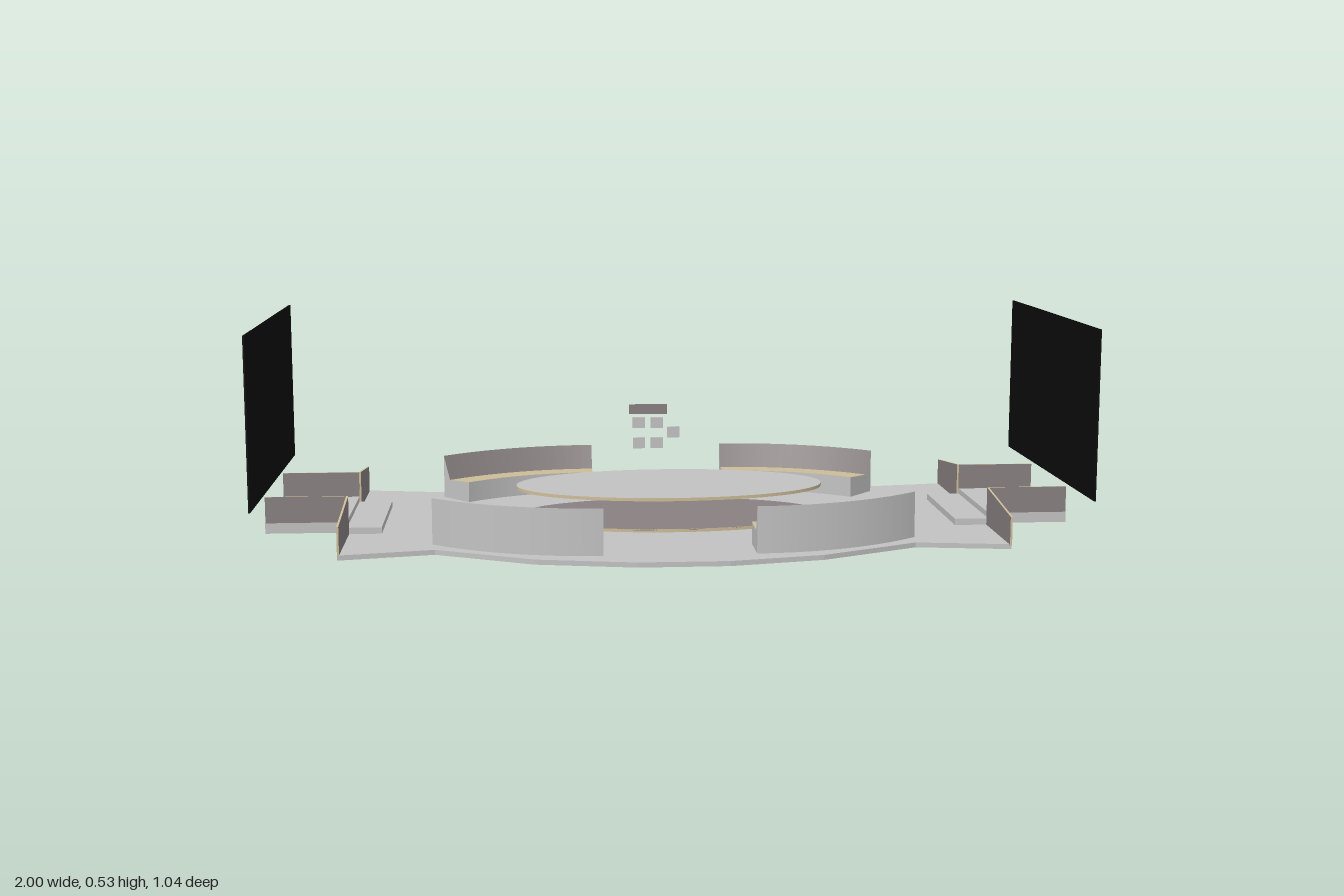
import * as THREE from 'three';

const mat = (name, color, side = THREE.FrontSide) => {
  const m = new THREE.MeshStandardMaterial({ color, side });
  m.name = name;
  return m;
};

export function createModel() {
  const root = new THREE.Group();
  root.name = 'stageSet';
  const lightGrey = mat('lightGrey', 0xc2c2c2);
  const warmGrey = mat('warmGrey', 0x888081, THREE.DoubleSide);
  const tan = mat('tan', 0xcdbd98, THREE.DoubleSide);
  const black = mat('black', 0x0c0c0c);

  const add = (name, geo, material, parent = root) => {
    const m = new THREE.Mesh(geo, material);
    m.name = name;
    parent.add(m);
    return m;
  };
  // Box given by its min and max corners
  const box = (name, x0, x1, y0, y1, z0, z1, material) => {
    const m = add(name, new THREE.BoxGeometry(x1 - x0, y1 - y0, z1 - z0), material);
    m.position.set((x0 + x1) / 2, (y0 + y1) / 2, (z0 + z1) / 2);
    return m;
  };
  const shapeOf = pts => new THREE.Shape(pts.map(p => new THREE.Vector2(p[0], p[1])));

  // Floor slab with an oval opening under the table
  const RX = 0.392, RZ = 0.2, CX = 0.006;
  const floorShape = shapeOf([
    [-0.8, -0.4], [-0.575, -0.355], [-0.34, -0.473], [-0.105, -0.52], [0.11, -0.52], [0.335, -0.473],
    [0.575, -0.357], [0.8, -0.392], [0.8, 0.397], [0.58, 0.362], [0.34, 0.475], [0.11, 0.525],
    [-0.105, 0.52], [-0.34, 0.47], [-0.575, 0.36], [-0.8, 0.403]]);
  floorShape.holes.push(new THREE.Path().absellipse(CX, 0, RX, RZ, 0, Math.PI * 2));
  const floorGeo = new THREE.ExtrudeGeometry(floorShape, { depth: 0.012, bevelEnabled: false, curveSegments: 24 });
  add('floor', floorGeo.rotateX(-Math.PI / 2), lightGrey);

  // Low oval plinth and the table top floating over it
  const oval = (name, y0, y1, open, material) => {
    const geo = new THREE.CylinderGeometry(1, 1, y1 - y0, 64, 1, open).scale(RX, 1, RZ);
    add(name, geo, material).position.set(CX, (y0 + y1) / 2, 0);
  };
  oval('plinthRim', 0, 0.02, true, tan);
  oval('plinthTop', 0.017, 0.02, false, warmGrey);
  oval('tableTop', 0.09, 0.098, false, [tan, lightGrey, lightGrey]);

  // Curved benches, one per quadrant, swept around a common radius
  const R = 0.613, R_BACK = 0.588, R_IN = 0.508, ARC = 0.72;
  const profile = [[R, 0.01], [R, 0.125], [R_BACK, 0.062], [R_IN, 0.066], [R_IN, 0.01]];
  const strips = [['benchOuterWall', lightGrey], ['backrest', warmGrey], ['seat', tan], ['benchFront', lightGrey]];
  const bench = (side, turn) => {
    const holder = new THREE.Group();
    holder.name = 'bench';
    const arc = new THREE.Group();
    arc.position.set(side * 0.18, 0, -0.165);
    holder.add(arc);
    strips.forEach(([name, material], i) => {
      const pts = [profile[i], profile[i + 1]].map(p => new THREE.Vector2(p[0], p[1]));
      add(name, new THREE.LatheGeometry(pts, 10, side > 0 ? 0 : -ARC, ARC), material, arc);
    });
    for (const phi of [0, side * ARC]) {
      const cap = add('benchEnd', new THREE.ShapeGeometry(shapeOf(profile)), endGrey, arc);
      cap.rotation.y = phi - Math.PI / 2;
    }
    holder.rotation.y = turn;
    root.add(holder);
  };
  const endGrey = mat('endGrey', 0xc2c2c2, THREE.DoubleSide);
  for (const side of [1, -1]) for (const turn of [0, Math.PI]) bench(side, turn);

  // Entrance at each end: step, platform, walls and a large screen
  const trimTop = [warmGrey, warmGrey, tan, warmGrey, warmGrey, warmGrey];
  for (const s of [1, -1]) {
    const span = (a, b) => (s > 0 ? [a, b] : [-b, -a]);
    box('platform', ...span(0.8, 0.998), 0.016, 0.042, -0.165, 0.165, lightGrey);
    box('step', ...span(0.715, 0.8), 0.01, 0.028, -0.165, 0.165, lightGrey);
    box('screen', ...span(0.996, 1), 0.115, 0.528, -0.4, 0.4, black);
    for (const t of [1, -1]) {
      const z = t * 0.163;
      box('platformWall', ...span(0.8, 0.997), 0.042, 0.107, z - 0.002, z + 0.002, trimTop);
      const wing = new THREE.ExtrudeGeometry(
        shapeOf([[t * 0.165, 0.01], [t * 0.398, 0.01], [t * 0.398, 0.08], [t * 0.165, 0.107]]),
        { depth: 0.005, bevelEnabled: false }).rotateY(-Math.PI / 2);
      add('wingWall', wing, [warmGrey, tan]).position.x = s > 0 ? 0.8 : -0.795;
    }
  }

  // Hanging display at the back: one flat plate over five small tiles
  add('displayPlate', new THREE.PlaneGeometry(0.107, 0.028), warmGrey).position.set(-0.022, 0.228, -0.426);
  for (const [x, y] of [[-0.048, 0.19], [0.002, 0.19], [0.048, 0.163], [-0.048, 0.133], [0.002, 0.133]]) {
    box('displayTile', x - 0.017, x + 0.017, y - 0.015, y + 0.015, -0.43, -0.422, lightGrey);
  }
  return root;
}
